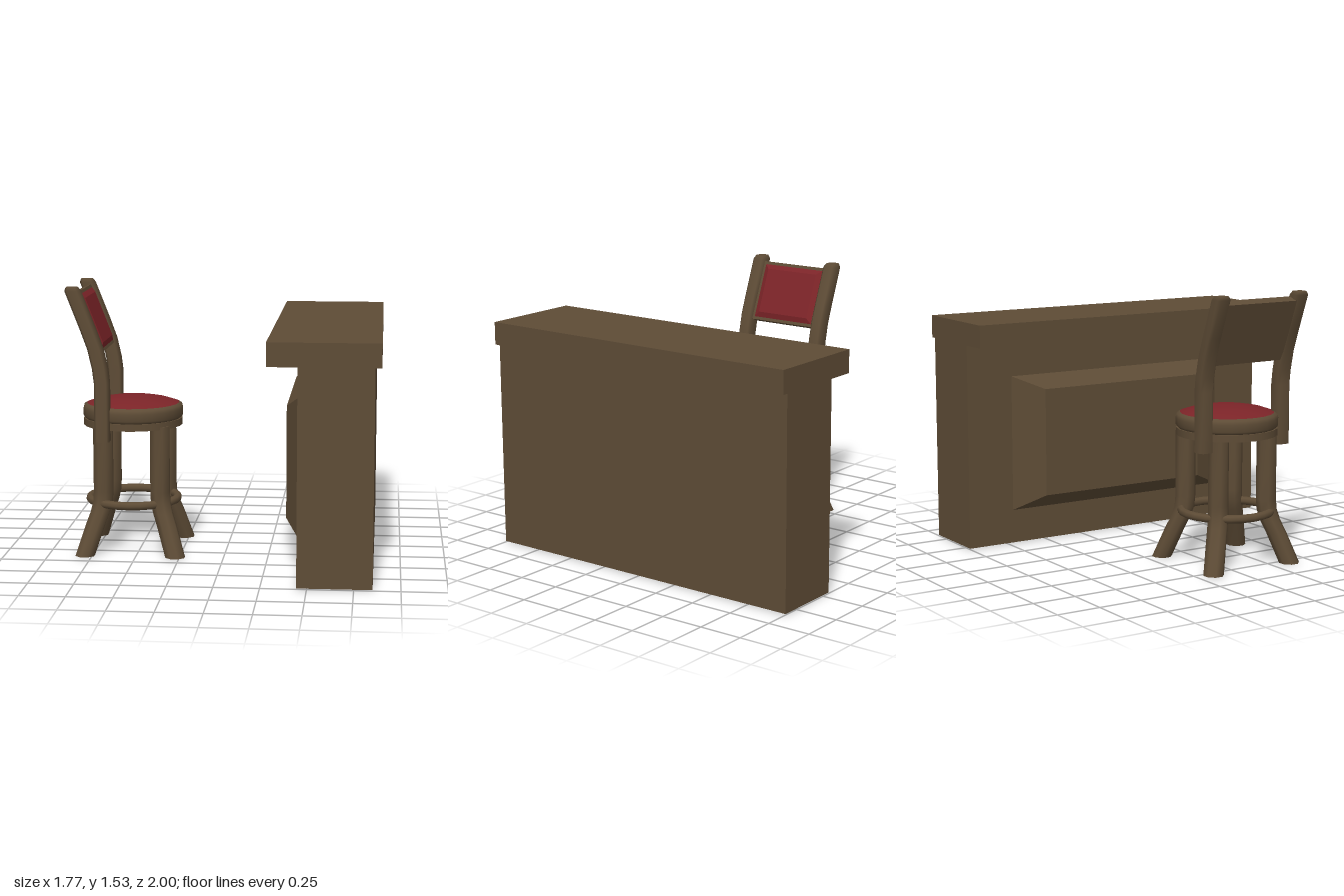
import * as THREE from 'three';

const wood = new THREE.MeshStandardMaterial({ color: 0x5e4c36 });
wood.name = 'brown wood';
const leather = new THREE.MeshStandardMaterial({ color: 0x7c2428 });
leather.name = 'red leather';

function add(parent, name, geometry, material, x = 0, y = 0, z = 0) {
  const mesh = new THREE.Mesh(geometry, material);
  mesh.name = name;
  mesh.position.set(x, y, z);
  parent.add(mesh);
  return mesh;
}

// Box from min to max corner
function slab(parent, name, x0, x1, y0, y1, z0, z1) {
  return add(parent, name, new THREE.BoxGeometry(x1 - x0, y1 - y0, z1 - z0), wood,
    (x0 + x1) / 2, (y0 + y1) / 2, (z0 + z1) / 2);
}

// Raised panel whose +x face is smaller than its base at x = 0
function raisedPanel(depth, h, w, hTop, wTop) {
  const g = new THREE.BoxGeometry(depth, h, w);
  g.translate(depth / 2, 0, 0);
  const p = g.attributes.position;
  for (let i = 0; i < p.count; i++) {
    if (p.getX(i) > depth / 2) {
      p.setY(i, Math.sign(p.getY(i)) * hTop / 2);
      p.setZ(i, Math.sign(p.getZ(i)) * wTop / 2);
    }
  }
  g.computeVertexNormals();
  return g;
}

// Bent timber: level eight-sided sections at [u, y, scale], listed upwards
function timber(path, half, chamfer) {
  const c = half - chamfer;
  const section = [[half, -c], [half, c], [c, half], [-c, half],
    [-half, c], [-half, -c], [-c, -half], [c, -half]];
  const n = section.length, verts = [], index = [];
  const ring = ([u, y, s = 1]) => section.forEach(([a, b]) => verts.push(u + a * s, y, b * s));
  path.forEach(ring);
  for (let r = 0; r < path.length - 1; r++) {
    for (let i = 0; i < n; i++) {
      const a = r * n + i, b = r * n + (i + 1) % n;
      index.push(a, a + n, b, b, a + n, b + n);
    }
  }
  // End caps with their own vertices
  const low = verts.length / 3, high = low + n;
  ring(path[0]);
  ring(path[path.length - 1]);
  for (let i = 1; i < n - 1; i++) {
    index.push(low, low + i, low + i + 1, high, high + i + 1, high + i);
  }
  const g = new THREE.BufferGeometry();
  g.setAttribute('position', new THREE.Float32BufferAttribute(verts, 3));
  g.setIndex(index);
  g.computeVertexNormals();
  return g;
}

const lathe = (points, sides = 24) =>
  new THREE.LatheGeometry(points.map(([r, y]) => new THREE.Vector2(r, y)), sides);

function createCounter() {
  const counter = new THREE.Group();
  counter.name = 'barCounter';
  slab(counter, 'counterBody', 0.445, 0.85, 0.005, 1.19, -1, 1);
  slab(counter, 'counterTop', 0.28, 0.885, 1.19, 1.32, -1, 1);
  const panel = add(counter, 'counterPanel', raisedPanel(0.08, 0.79, 1.43, 0.63, 1.07),
    wood, 0.445, 0.595, 0);
  panel.rotation.y = Math.PI;
  return counter;
}

function createStool() {
  const stool = new THREE.Group();
  stool.name = 'barStool';
  stool.position.set(-0.543, 0, 0.112);

  // Four legs, splayed outwards along the diagonals
  const legPath = [[0.365, 0], [0.29, 0.17], [0.255, 0.24], [0.235, 0.3], [0.23, 0.36], [0.23, 0.74]];
  const legGeometry = timber(legPath, 0.053, 0.03);
  for (let i = 0; i < 4; i++) {
    add(stool, 'leg', legGeometry, wood, 0.01).rotation.y = Math.PI / 4 + i * Math.PI / 2;
  }

  // Foot ring
  const ring = add(stool, 'footRing', new THREE.TorusGeometry(0.254, 0.024, 8, 24), wood, 0, 0.29, 0);
  ring.rotation.x = Math.PI / 2;

  // Round seat: base plate, rounded rim and domed cushion
  add(stool, 'seatPlate', new THREE.CylinderGeometry(0.285, 0.285, 0.04, 24), wood, 0, 0.745, 0);
  add(stool, 'seatRim', lathe([[0, 0.765], [0.275, 0.765], [0.287, 0.78], [0.288, 0.82],
    [0.283, 0.84], [0.265, 0.85]]), wood);
  add(stool, 'seatCushion', lathe([[0.277, 0.843], [0.215, 0.864], [0.14, 0.879],
    [0.075, 0.887], [0, 0.888]]), leather);

  // Curved back posts
  const postPath = [[0, 0.665], [0, 1], [-0.01, 1.08], [-0.035, 1.19], [-0.075, 1.3],
    [-0.159, 1.515], [-0.164, 1.535, 0.75]];
  const postGeometry = timber(postPath, 0.042, 0.014);
  for (const side of [-1, 1]) {
    add(stool, 'backPost', postGeometry, wood, -0.139, 0, 0.005 + side * 0.259);
  }

  // Leaning backrest with a padded front
  const back = new THREE.Group();
  back.name = 'backrest';
  back.position.set(-0.232, 1.325, 0.005);
  back.rotation.z = 0.372;
  stool.add(back);
  add(back, 'backrestFrame', new THREE.BoxGeometry(0.055, 0.365, 0.46), wood);
  add(back, 'backrestPad', raisedPanel(0.014, 0.33, 0.415, 0.27, 0.35), leather, 0.0275, 0, -0.005);
  return stool;
}

export function createModel() {
  const model = new THREE.Group();
  model.name = 'barCounterAndStool';
  model.add(createCounter(), createStool());
  return model;
}
